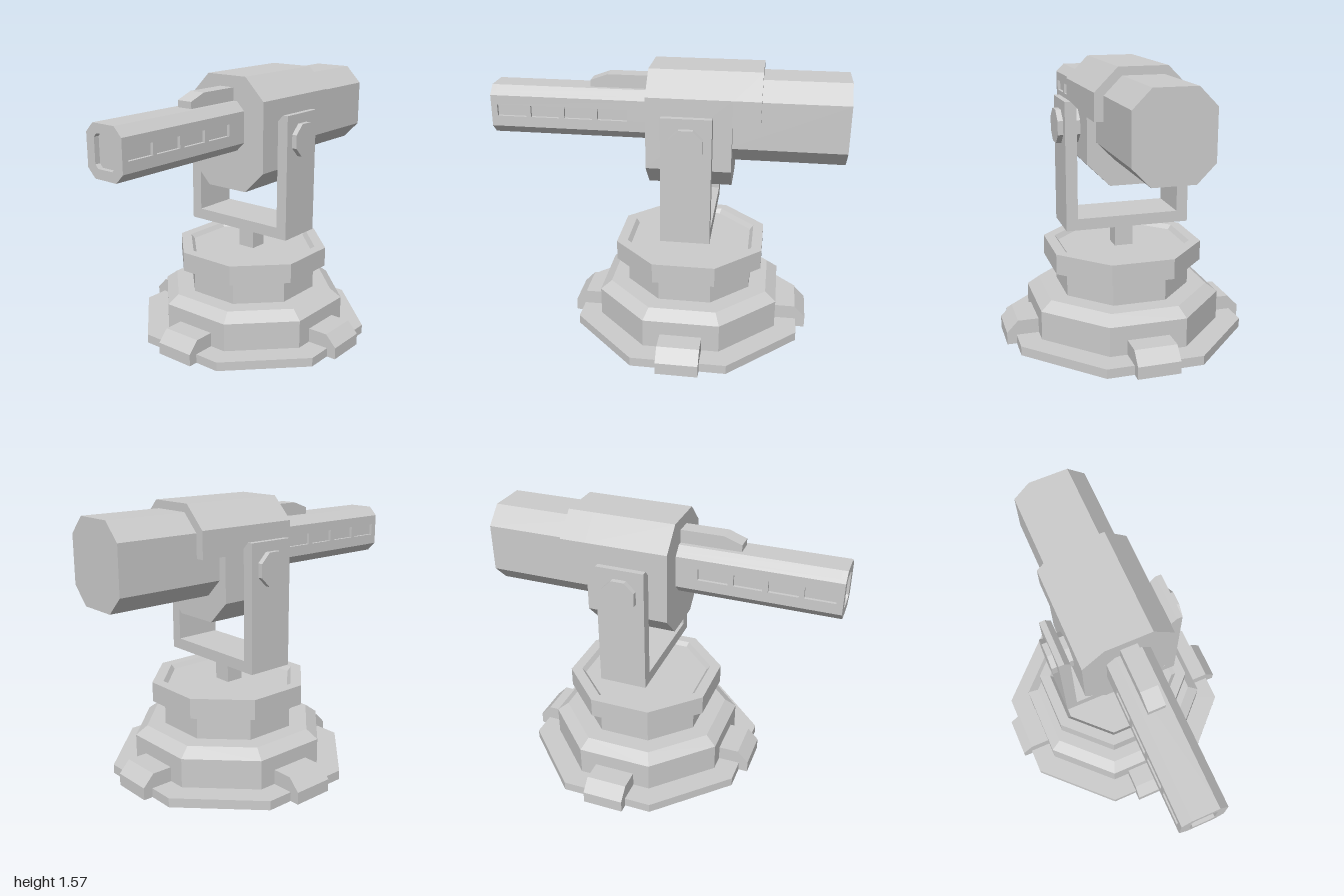
import * as THREE from 'three';

const PIVOT_Z = -0.143;
const mat = new THREE.MeshStandardMaterial({ color: 0xcccccc, flatShading: true });

const toShape = (pts) => new THREE.Shape(pts.map(([x, y]) => new THREE.Vector2(x, y)));

// Outline of a rectangle with cut corners
function chamfered(hw, y0, y1, cx, cy) {
  return [
    [-hw + cx, y0], [hw - cx, y0], [hw, y0 + cy], [hw, y1 - cy],
    [hw - cx, y1], [-hw + cx, y1], [-hw, y1 - cy], [-hw, y0 + cy],
  ];
}

// Prism of an x-y outline between two z values
function prismZ(pts, z0, z1, hole) {
  const shape = toShape(pts);
  if (hole) shape.holes.push(toShape(hole));
  return new THREE.ExtrudeGeometry(shape, { depth: z1 - z0, bevelEnabled: false }).translate(0, 0, z0);
}

// Prism of a z-y outline, centred on x = 0
function prismX(pts, width) {
  return new THREE.ExtrudeGeometry(toShape(pts), { depth: width, bevelEnabled: false })
    .translate(0, 0, -width / 2).rotateY(-Math.PI / 2);
}

// Eight-sided turned solid; the profile gives [flat-to-centre distance, y]
function octagonal(profile) {
  const k = 1 / Math.cos(Math.PI / 8);
  const pts = profile.map(([r, y]) => new THREE.Vector2(r * k, y));
  return new THREE.LatheGeometry(pts, 8, Math.PI / 8).toNonIndexed();
}

function add(parent, name, geometry, x = 0, y = 0, z = 0) {
  const mesh = new THREE.Mesh(geometry, mat);
  mesh.name = name;
  mesh.position.set(x, y, z);
  parent.add(mesh);
  return mesh;
}

function group(parent, name) {
  const g = new THREE.Group();
  g.name = name;
  parent.add(g);
  return g;
}

function buildBase(parent) {
  const base = group(parent, 'base');
  base.position.z = PIVOT_Z;
  add(base, 'footPlate', octagonal([[0, 0], [0.65, 0], [0.65, 0.053], [0, 0.053]]));
  add(base, 'plinth', octagonal([[0, 0.04], [0.523, 0.04], [0.523, 0.22], [0.46, 0.27], [0, 0.27]]));
  add(base, 'column', octagonal([[0, 0.26], [0.36, 0.26], [0.36, 0.42], [0, 0.42]]));
  // Turntable with a shallow recess in its top
  add(base, 'turntable', octagonal([
    [0, 0.415], [0.425, 0.415], [0.425, 0.53], [0.365, 0.53], [0.345, 0.505], [0, 0.505],
  ]));
  // Clamps on four sides
  const clamp = prismX([[0.48, 0], [0.704, 0], [0.704, 0.07], [0.64, 0.137], [0.48, 0.137]], 0.238);
  for (let i = 0; i < 4; i++) add(base, 'clamp', clamp).rotation.y = i * Math.PI / 2;
}

function buildYoke(parent) {
  const yoke = group(parent, 'yoke');
  add(yoke, 'post', new THREE.BoxGeometry(0.106, 0.16, 0.106), 0, 0.575, PIVOT_Z);
  const half = [[0.355, 0.645], [0.355, 1.365], [0.322, 1.365], [0.29, 1.33], [0.29, 0.71]];
  const mirrored = half.map(([x, y]) => [-x, y]).reverse();
  add(yoke, 'fork', prismZ([...half, ...mirrored], -0.28, -0.005));
  // Pivot bolts through both arms
  for (const s of [-1, 1]) {
    const bolt = new THREE.CylinderGeometry(0.1, 0.1, 0.15, 8)
      .rotateY(Math.PI / 8).rotateZ(Math.PI / 2);
    add(yoke, 'pivotBolt', bolt, s * 0.31, 1.217, PIVOT_Z);
  }
}

function buildBarrel(parent) {
  const barrel = group(parent, 'barrel');
  const back = 0.05, tip = 1, core = 0.107;
  const coreOutline = [
    [-0.075, 1.15], [0.075, 1.15], [core, 1.182], [core, 1.398],
    [0.075, 1.43], [-0.075, 1.43], [-core, 1.398], [-core, 1.182],
  ];
  add(barrel, 'barrelCore', prismZ(coreOutline, back, tip - 0.03));
  add(barrel, 'muzzle', prismZ(coreOutline, tip - 0.03, tip, chamfered(0.07, 1.203, 1.38, 0.02, 0.02)));
  // Side walls: two rails joined by posts, leaving four slots
  const posts = [[back, 0.215], [0.385, 0.415], [0.575, 0.605], [0.77, 0.797], [0.965, tip]];
  for (const s of [-1, 1]) {
    const order = (pts) => {
      const p = pts.map(([x, y]) => [s * x, y]);
      return s > 0 ? p : p.reverse();
    };
    add(barrel, 'upperRail', prismZ(order([[core, 1.325], [0.125, 1.325], [0.125, 1.38], [core, 1.398]]), back, tip));
    add(barrel, 'lowerRail', prismZ(order([[core, 1.182], [0.125, 1.2], [0.125, 1.26], [core, 1.26]]), back, tip));
    for (const [z0, z1] of posts) {
      add(barrel, 'slotPost', new THREE.BoxGeometry(0.018, 0.065, z1 - z0), s * 0.116, 1.2925, (z0 + z1) / 2);
    }
  }
  // Wedge-nosed sight rail
  add(barrel, 'sight', prismX([
    [0.05, 1.42], [0.435, 1.42], [0.435, 1.468], [0.335, 1.505], [0.05, 1.505],
  ], 0.096));
}

function buildHousing(parent) {
  const housing = group(parent, 'housing');
  add(housing, 'housingBody', prismZ(chamfered(0.26, 0.915, 1.57, 0.126, 0.126), -0.38, 0.09));
  // The upper half overhangs to the rear
  add(housing, 'rearHood', prismZ([
    [-0.26, 1.295], [0.26, 1.295], [0.26, 1.444], [0.134, 1.57], [-0.134, 1.57], [-0.26, 1.444],
  ], -0.53, -0.38));
  add(housing, 'rearBlock', prismZ(chamfered(0.21, 1.062, 1.525, 0.097, 0.098), -1, -0.35));
}

export function createModel() {
  const model = new THREE.Group();
  model.name = 'turret';
  buildBase(model);
  buildYoke(model);
  buildHousing(model);
  buildBarrel(model);
  return model;
}
